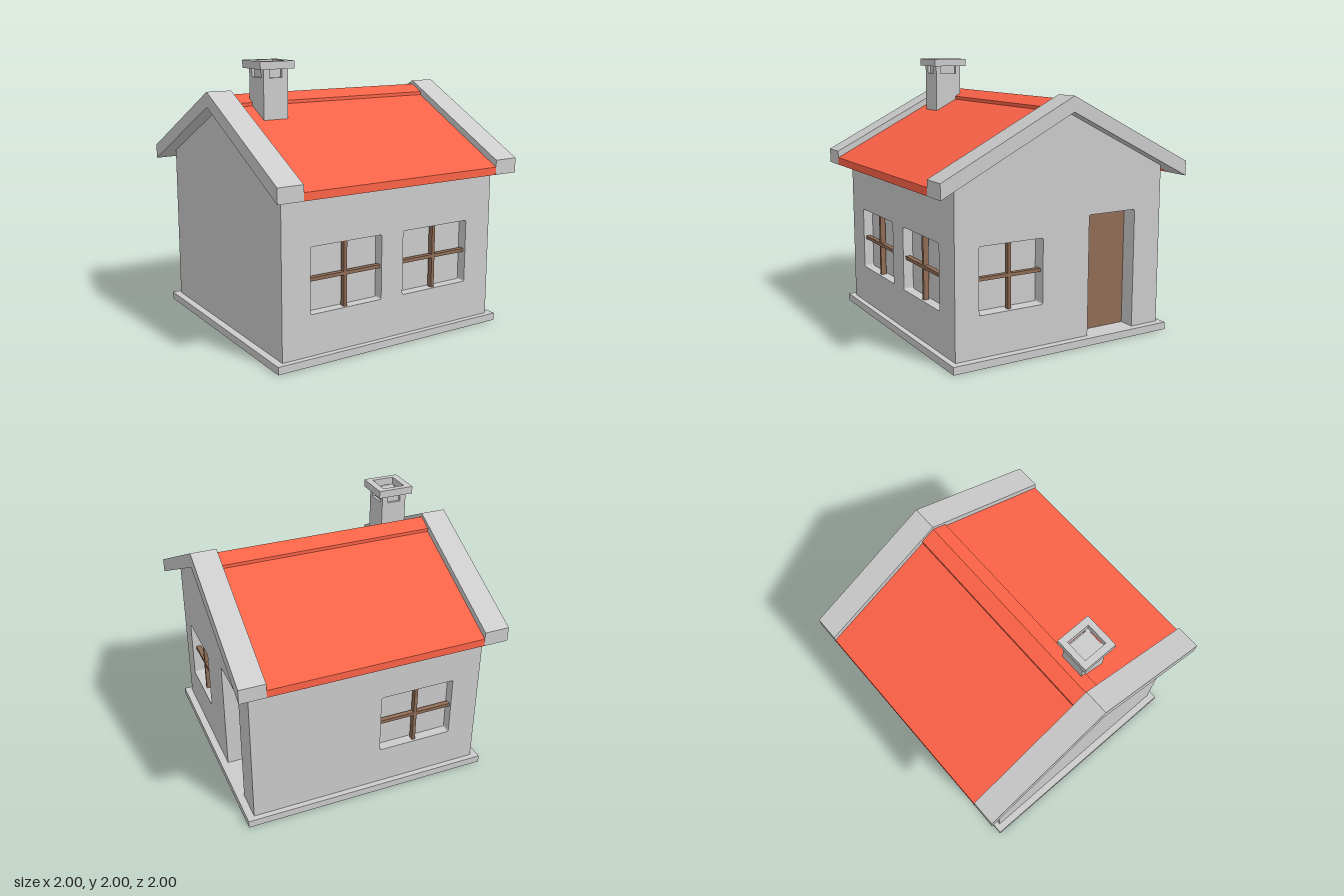
import * as THREE from 'three';

const grey = new THREE.MeshStandardMaterial({ color: 0xcccccc });
const red = new THREE.MeshStandardMaterial({ color: 0xff6347 });
const brown = new THREE.MeshStandardMaterial({ color: 0x8f6c56 });

const BASE_TOP = 0.055;
const SLOPE = 0.505;
const WALL = 0.12;

// Box given by its min and max corners
function block(parent, name, material, [x0, y0, z0], [x1, y1, z1]) {
  const mesh = new THREE.Mesh(new THREE.BoxGeometry(x1 - x0, y1 - y0, z1 - z0), material);
  mesh.position.set((x0 + x1) / 2, (y0 + y1) / 2, (z0 + z1) / 2);
  mesh.name = name;
  parent.add(mesh);
  return mesh;
}

const polygon = (points) => new THREE.Shape(points.map(([x, y]) => new THREE.Vector2(x, y)));

// Rectangular opening with slightly rounded corners; rb = 0 keeps the bottom square
function opening({ x0, x1, y0, y1, door }) {
  const r = 0.014, rb = door ? 0 : r;
  const p = new THREE.Path();
  p.moveTo(x0 + rb, y0);
  p.lineTo(x1 - rb, y0);
  if (rb) p.quadraticCurveTo(x1, y0, x1, y0 + rb);
  p.lineTo(x1, y1 - r);
  p.quadraticCurveTo(x1, y1, x1 - r, y1);
  p.lineTo(x0 + r, y1);
  p.quadraticCurveTo(x0, y1, x0, y1 - r);
  p.lineTo(x0, y0 + rb);
  if (rb) p.quadraticCurveTo(x0, y0, x0 + rb, y0);
  return p;
}

// Wall facing local +z with recessed windows and doors, turned to its side of the house
function wall(name, outline, openings, distance, angle, recess) {
  const group = new THREE.Group();
  group.name = name;
  const shape = polygon(outline);
  shape.holes = openings.map(opening);
  const geometry = new THREE.ExtrudeGeometry(shape, { depth: WALL, bevelEnabled: false, curveSegments: 3 });
  geometry.translate(0, 0, distance - WALL);
  const panel = new THREE.Mesh(geometry, grey);
  panel.name = name + 'Panel';
  group.add(panel);

  for (const { x0, x1, y0, y1, door } of openings) {
    const back = distance - (door ? WALL : recess);
    block(group, door ? 'door' : 'windowPane', door ? brown : grey,
      [x0 - 0.01, y0 - 0.01, back - 0.05], [x1 + 0.01, y1 + 0.01, back]);
    if (door) continue;
    // Crossed glazing bars
    const cx = (x0 + x1) / 2, cy = (y0 + y1) / 2 + 0.003, t = 0.0125;
    const zMid = distance - recess / 2;
    block(group, 'verticalBar', brown, [cx - t, y0, zMid - 0.02], [cx + t, y1, zMid + 0.02]);
    block(group, 'horizontalBar', brown, [x0, cy - t, zMid - 0.019], [x1, cy + t, zMid + 0.019]);
  }
  group.rotation.y = angle;
  return group;
}

// Inverted V roof section running along x from x0 to x1
function chevron(name, material, x0, x1, halfSpan, topPeak, bottomPeak) {
  const drop = halfSpan * SLOPE;
  const shape = polygon([
    [-halfSpan, bottomPeak - drop], [0, bottomPeak], [halfSpan, bottomPeak - drop],
    [halfSpan, topPeak - drop], [0, topPeak], [-halfSpan, topPeak - drop],
  ]);
  const geometry = new THREE.ExtrudeGeometry(shape, { depth: x1 - x0, bevelEnabled: false });
  geometry.rotateY(Math.PI / 2);
  geometry.translate(x0, 0, 0);
  const mesh = new THREE.Mesh(geometry, material);
  mesh.name = name;
  return mesh;
}

function chimney() {
  const group = new THREE.Group();
  group.name = 'chimney';
  const hx = 0.096, hz = 0.106;
  block(group, 'chimneyStack', grey, [-hx, 1.5, -hz], [hx, 1.885, hz]);
  block(group, 'chimneyCore', grey, [-hx + 0.02, 1.88, -hz + 0.02], [hx - 0.02, 1.945, hz - 0.02]);
  // Corner posts leave a shallow vent on every side
  for (const sx of [-1, 1]) for (const sz of [-1, 1]) {
    const post = block(group, 'chimneyPost', grey, [0, 1.885, 0], [hx - 0.05, 1.945, hz - 0.067]);
    post.position.x = sx * (hx + 0.05) / 2;
    post.position.z = sz * (hz + 0.067) / 2;
  }
  // Square cap with a hollow centre
  const cap = polygon([[-0.135, -0.135], [0.135, -0.135], [0.135, 0.135], [-0.135, 0.135]]);
  cap.holes.push(polygon([[-0.084, -0.092], [0.084, -0.092], [0.084, 0.092], [-0.084, 0.092]]));
  const geometry = new THREE.ExtrudeGeometry(cap, { depth: 0.055, bevelEnabled: false });
  geometry.rotateX(-Math.PI / 2);
  geometry.translate(0, 1.945, 0);
  const mesh = new THREE.Mesh(geometry, grey);
  mesh.name = 'chimneyCap';
  group.add(mesh);
  group.position.set(-0.6, 0, 0.17);
  return group;
}

export function createModel() {
  const house = new THREE.Group();
  house.name = 'house';

  block(house, 'foundation', grey, [-0.95, 0, -0.895], [0.95, BASE_TOP, 0.895]);

  // Walls
  const hx = 0.895, hz = 0.853, peak = 1.678, foot = 0.03;
  const eave = peak - hz * SLOPE;
  const long = hx - WALL;
  const plain = [[-long, foot], [long, foot], [long, eave], [-long, eave]];
  const gable = [[-hz, foot], [hz, foot], [hz, eave], [0, peak], [-hz, eave]];
  const win = (x0, x1) => ({ x0, x1, y0: 0.35, y1: 0.82 });
  const door = { x0: 0.215, x1: 0.62, y0: BASE_TOP, y1: 0.94, door: true };
  house.add(
    wall('frontWall', plain, [win(-0.675, -0.095), win(0.09, 0.67)], hz, 0, 0.075),
    wall('backWall', plain, [win(0.095, 0.675)], hz, Math.PI, 0.075),
    wall('doorGable', gable, [win(-0.672, -0.17), door], hx, Math.PI / 2, 0.1),
    wall('plainGable', gable, [], hx, -Math.PI / 2, 0.1),
  );

  // Roof
  house.add(
    chevron('roofTiles', red, -0.81, 0.81, 0.999, 1.733, 1.677),
    chevron('ridgeCap', red, -0.81, 0.81, 0.107, 1.757, 1.725),
    chevron('rightRoofEdge', grey, -1, -0.81, 1, 1.785, 1.677),
    chevron('leftRoofEdge', grey, 0.81, 1, 1, 1.785, 1.677),
  );

  house.add(chimney());
  return house;
}
